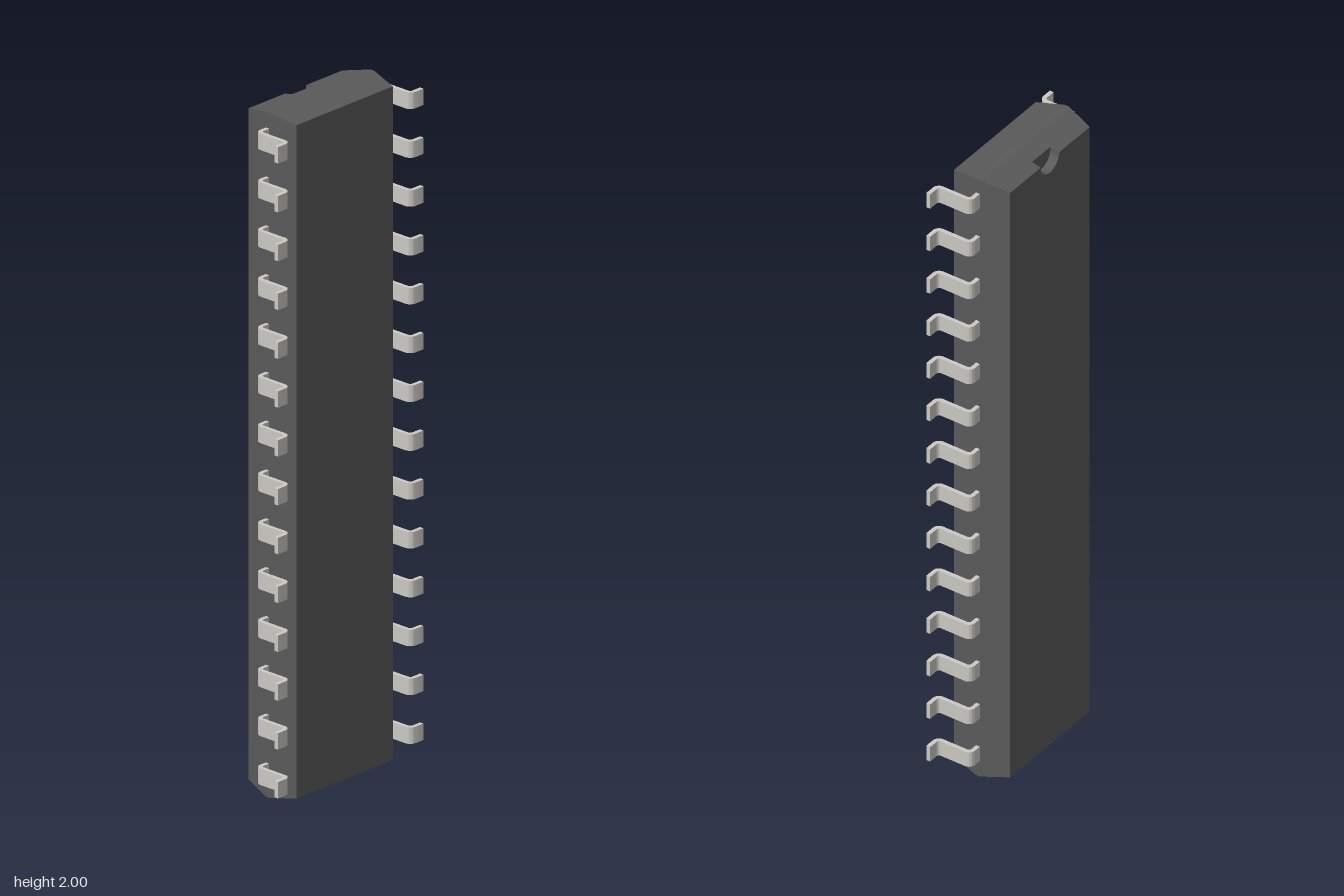
import * as THREE from 'three';
import { toCreasedNormals } from 'three/addons/utils/BufferGeometryUtils.js';

const NOTCH_R = 0.0425, NOTCH_SEGS = 20, NOTCH_Y = 0.98;

// Rectangular outline whose top edge carries the notch arc (or the same points flattened).
function outline(w, h, notched) {
  const pts = [[-w, -h], [w, -h], [w, h]];
  for (let i = 0; i <= NOTCH_SEGS; i++) {
    const a = (i / NOTCH_SEGS) * Math.PI;
    const end = i === 0 || i === NOTCH_SEGS;
    const y = notched && !end ? NOTCH_Y - NOTCH_R * Math.sin(a) : h;
    pts.push([NOTCH_R * Math.cos(a), y]);
  }
  pts.push([-w, h]);
  return pts;
}

// Moulded case: outlines lofted from back to front, then capped.
function bodyGeometry() {
  const rows = [
    [-0.1025, 0.185, 0.98, true],
    [-0.074, 0.1924, 0.9867, true],
    [-0.074, 0.1924, 0.9867, false], // notch floor
    [-0.018, 0.207, 1, false],
    [-0.005, 0.207, 1, false],
    [0.08, 0.19, 0.983, false],
  ].map(([z, w, h, notched]) => ({ z, pts: outline(w, h, notched) }));

  const n = rows[0].pts.length;
  const positions = rows.flatMap(({ z, pts }) => pts.flatMap(([x, y]) => [x, y, z]));
  const index = [];
  for (let r = 0; r < rows.length - 1; r++) {
    for (let j = 0; j < n; j++) {
      const a = r * n + j, b = r * n + ((j + 1) % n);
      index.push(a, b, b + n, a, b + n, a + n);
    }
  }
  const cap = (row) => THREE.ShapeUtils.triangulateShape(
    rows[row].pts.map(([x, y]) => new THREE.Vector2(x, y)), []);
  for (const [a, b, c] of cap(0)) index.push(a, c, b);
  const last = rows.length - 1;
  // the front outline is a plain rectangle
  const f = last * n;
  index.push(f, f + 1, f + 2, f, f + 2, f + n - 1);

  const geo = new THREE.BufferGeometry();
  geo.setAttribute('position', new THREE.Float32BufferAttribute(positions, 3));
  geo.setIndex(index);
  return toCreasedNormals(geo, 0.18);
}

// Gull-wing pin: bent strip profile in x/z, extruded along y.
function pinGeometry(width) {
  const s = new THREE.Shape();
  s.moveTo(0.19, -0.018);
  s.lineTo(0.229, -0.018);
  s.absarc(0.229, 0.002, 0.02, -Math.PI / 2, 0, false);
  s.absarc(0.257, 0.082, 0.008, Math.PI, Math.PI / 2, true);
  s.lineTo(0.287, 0.09);
  s.lineTo(0.287, 0.1025);
  s.absarc(0.257, 0.082, 0.0205, Math.PI / 2, Math.PI, false);
  s.absarc(0.229, 0.002, 0.0075, 0, -Math.PI / 2, true);
  s.lineTo(0.19, -0.0055);
  s.closePath();
  const geo = new THREE.ExtrudeGeometry(s, { depth: width, bevelEnabled: false, curveSegments: 8 });
  geo.translate(0, 0, -width / 2);
  geo.rotateX(Math.PI / 2);
  return toCreasedNormals(geo, 0.5);
}

export function createModel() {
  const model = new THREE.Group();
  model.name = 'chipPackage';

  const body = new THREE.Mesh(bodyGeometry(), new THREE.MeshStandardMaterial({ color: 0x5a5a5a }));
  body.name = 'body';
  body.position.y = 1;
  model.add(body);

  // Fourteen pins on each side
  const pinGeo = pinGeometry(0.048);
  const pinMat = new THREE.MeshStandardMaterial({ color: 0xcccac4 });
  for (const side of ['left', 'right']) {
    const row = new THREE.Group();
    row.name = side + 'Pins';
    for (let i = 0; i < 14; i++) {
      const pin = new THREE.Mesh(pinGeo, pinMat);
      pin.name = side + 'Pin' + (i + 1);
      pin.position.y = 1.003 + (i - 6.5) * 0.1426;
      if (side === 'right') pin.rotation.z = Math.PI;
      row.add(pin);
    }
    model.add(row);
  }
  return model;
}
